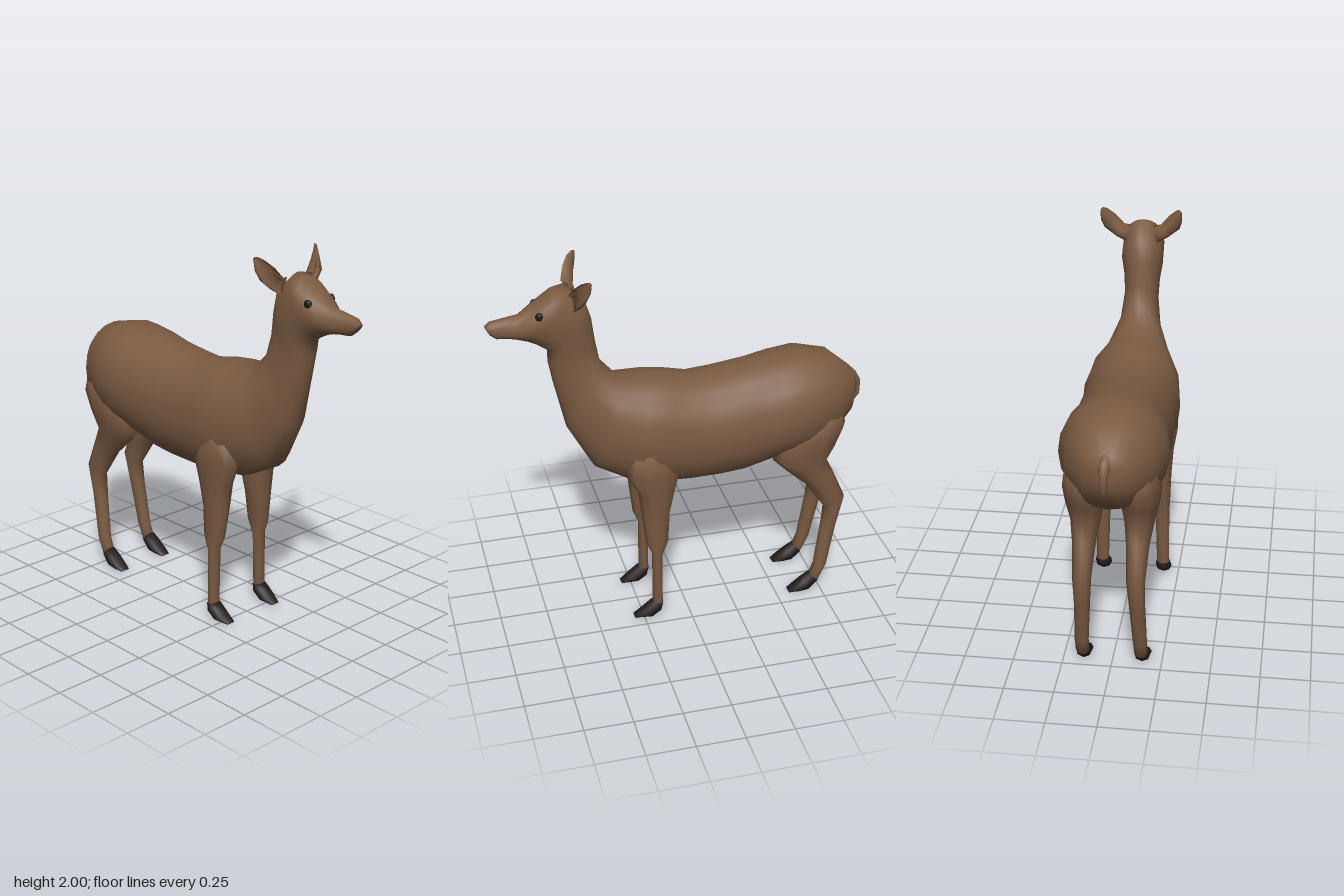
import * as THREE from 'three';

// Closed skin over rings [x1,y1,z1, x2,y2,z2, halfWidth, taper]: the two points are opposite
// ends of an oval, halfWidth is its reach along 'side', taper narrows it toward the second
// point. 'cup' < 0 hollows the +side half.
function loft(rings, n, side = new THREE.Vector3(1, 0, 0), cup = 1) {
  const pos = [], idx = [], ends = [];
  const soft = t => Math.sign(t) * Math.pow(Math.abs(t), 0.94);
  for (const [x1, y1, z1, x2, y2, z2, w, taper = 0] of rings) {
    const a = new THREE.Vector3(x1, y1, z1), b = new THREE.Vector3(x2, y2, z2);
    const mid = a.clone().add(b).multiplyScalar(0.5), half = a.clone().sub(mid);
    ends.push(mid);
    for (let i = 0; i < n; i++) {
      const t = i / n * Math.PI * 2, s = soft(Math.sin(t)), c = soft(Math.cos(t));
      const p = mid.clone().addScaledVector(half, c)
        .addScaledVector(side, w * s * (1 + taper * c) * (s > 0 ? cup : 1));
      pos.push(p.x, p.y, p.z);
    }
  }
  const last = rings.length - 1, c0 = pos.length / 3;
  for (const m of [ends[0], ends[last]]) pos.push(m.x, m.y, m.z);
  for (let i = 0; i < n; i++) {
    const j = (i + 1) % n;
    for (let r = 0; r < last; r++) {
      const a = r * n + i, b = r * n + j;
      idx.push(a, b, b + n, a, b + n, a + n);
    }
    idx.push(c0, j, i, c0 + 1, last * n + i, last * n + j);
  }
  // Turn the faces outward when the rings run the other way
  let volume = 0;
  const v = k => new THREE.Vector3().fromArray(pos, idx[k] * 3);
  for (let k = 0; k < idx.length; k += 3) volume += v(k).dot(v(k + 1).cross(v(k + 2)));
  if (volume < 0) idx.reverse();
  const g = new THREE.BufferGeometry();
  g.setAttribute('position', new THREE.Float32BufferAttribute(pos, 3));
  g.setIndex(idx);
  g.computeVertexNormals();
  return g;
}

// Ring in the side plane: [z1,y1, z2,y2, halfWidth, centreX, taper]
const ring = ([z1, y1, z2, y2, w, x = 0, taper = 0]) => [x, y1, z1, x, y2, z2, w, taper];

export function createModel() {
  const model = new THREE.Group();
  const mat = (name, color) => Object.assign(new THREE.MeshStandardMaterial({ color }), { name });
  const coat = mat('brown coat', 0x7b5b42);
  const hoof = mat('dark hoof', 0x251d1f);
  const eyeBlack = mat('eye black', 0x1a1716);
  const add = (name, geometry, material) => {
    const mesh = new THREE.Mesh(geometry, material);
    mesh.name = name;
    model.add(mesh);
    return mesh;
  };

  // Rump, barrel, chest, neck, head and muzzle: upper edge, lower edge, half width
  add('bodyNeckAndHead', loft([
    [-0.935, 1.24, -0.945, 1.11, 0.035],
    [-0.91, 1.28, -0.90, 1.02, 0.11],
    [-0.79, 1.38, -0.80, 0.93, 0.208],
    [-0.63, 1.415, -0.62, 0.86, 0.267],
    [-0.50, 1.40, -0.48, 0.835, 0.265],
    [-0.36, 1.38, -0.30, 0.775, 0.244],
    [-0.17, 1.353, -0.17, 0.767, 0.252],
    [-0.04, 1.345, -0.02, 0.76, 0.24],
    [0.08, 1.37, 0.10, 0.77, 0.256],
    [0.20, 1.385, 0.28, 0.79, 0.238, 0, 0.08],
    [0.34, 1.395, 0.47, 0.89, 0.172, 0, 0.15],
    [0.42, 1.49, 0.60, 1.13, 0.11, 0, 0.1],
    [0.44, 1.60, 0.66, 1.40, 0.09],
    [0.455, 1.72, 0.68, 1.51, 0.096],
    [0.485, 1.82, 0.68, 1.58, 0.11],
    [0.58, 1.91, 0.74, 1.62, 0.108],
    [0.63, 1.90, 0.78, 1.64, 0.102],
    [0.72, 1.84, 0.83, 1.655, 0.08],
    [0.81, 1.78, 0.865, 1.66, 0.044],
    [0.955, 1.757, 0.925, 1.665, 0.034],
    [0.98, 1.735, 0.95, 1.685, 0.025],
  ].map(ring), 20), coat);

  // Short pointed tail, hanging free of the rump
  add('tail', loft([
    [-0.91, 1.28, -0.91, 1.22, 0.03],
    [-0.945, 1.245, -0.925, 1.19, 0.028],
    [-0.975, 1.19, -0.945, 1.17, 0.02],
    [-0.974, 1.11, -0.952, 1.12, 0.014],
    [-0.945, 1.07, -0.94, 1.075, 0.004],
  ].map(ring), 8), coat);

  for (const [s, label] of [[1, 'left'], [-1, 'right']]) {
    const paired = rows => rows.map(([z1, y1, z2, y2, w, x]) => ring([z1, y1, z2, y2, w, s * x]));

    // Front leg: shoulder, knee, cannon
    add(label + 'FrontLeg', loft(paired([
      [0.31, 1.02, 0.06, 1.02, 0.07, 0.165],
      [0.325, 0.88, 0.045, 0.88, 0.08, 0.158],
      [0.265, 0.76, 0.07, 0.76, 0.073, 0.146],
      [0.25, 0.62, 0.10, 0.62, 0.058, 0.15],
      [0.23, 0.46, 0.11, 0.46, 0.045, 0.158],
      [0.20, 0.39, 0.145, 0.38, 0.038, 0.162],
      [0.20, 0.08, 0.145, 0.08, 0.034, 0.168],
    ]), 10), coat);
    add(label + 'FrontHoof', loft(paired([
      [0.20, 0.092, 0.142, 0.08, 0.036, 0.168],
      [0.225, 0.075, 0.15, 0.035, 0.042, 0.168],
      [0.265, 0.042, 0.20, 0, 0.042, 0.168],
      [0.305, 0.01, 0.295, 0, 0.026, 0.164],
    ]), 8), hoof);

    // Hind leg: haunch, hock, cannon
    add(label + 'HindLeg', loft(paired([
      [-0.54, 1.09, -0.83, 1.11, 0.085, 0.14],
      [-0.47, 0.95, -0.85, 1.03, 0.1, 0.14],
      [-0.46, 0.85, -0.81, 0.925, 0.094, 0.136],
      [-0.54, 0.77, -0.755, 0.82, 0.075, 0.133],
      [-0.65, 0.67, -0.80, 0.73, 0.057, 0.132],
      [-0.755, 0.52, -0.87, 0.57, 0.046, 0.132],
      [-0.745, 0.40, -0.83, 0.40, 0.04, 0.136],
      [-0.71, 0.15, -0.782, 0.15, 0.035, 0.147],
      [-0.69, 0.10, -0.735, 0.05, 0.034, 0.148],
    ]), 10), coat);
    add(label + 'HindHoof', loft(paired([
      [-0.69, 0.105, -0.738, 0.05, 0.036, 0.148],
      [-0.645, 0.075, -0.685, 0, 0.042, 0.149],
      [-0.60, 0.035, -0.63, 0, 0.042, 0.15],
      [-0.565, 0.01, -0.575, 0, 0.028, 0.15],
    ]), 8), hoof);

    // Cupped ear, hollow toward the front
    add(label + 'Ear', loft([
      [0.06, 1.89, 0.565, 0.085, 1.80, 0.56, 0.045],
      [0.097, 1.89, 0.583, 0.14, 1.83, 0.57, 0.06],
      [0.142, 1.947, 0.563, 0.198, 1.88, 0.55, 0.055],
      [0.18, 1.985, 0.533, 0.213, 1.927, 0.52, 0.036],
      [0.20, 2.0, 0.505, 0.214, 1.985, 0.50, 0.016],
    ].map(([x1, y1, z1, x2, y2, z2, w]) => [s * x1, y1, z1, s * x2, y2, z2, w]),
    10, new THREE.Vector3(0, 0, 1), -0.5), coat);

    // Eye
    const eye = add(label + 'Eye', new THREE.SphereGeometry(0.024, 10, 8), eyeBlack);
    eye.scale.set(0.6, 1, 0.9);
    eye.position.set(s * 0.081, 1.79, 0.722);
    eye.rotation.y = -s * 0.35;
  }
  return model;
}
